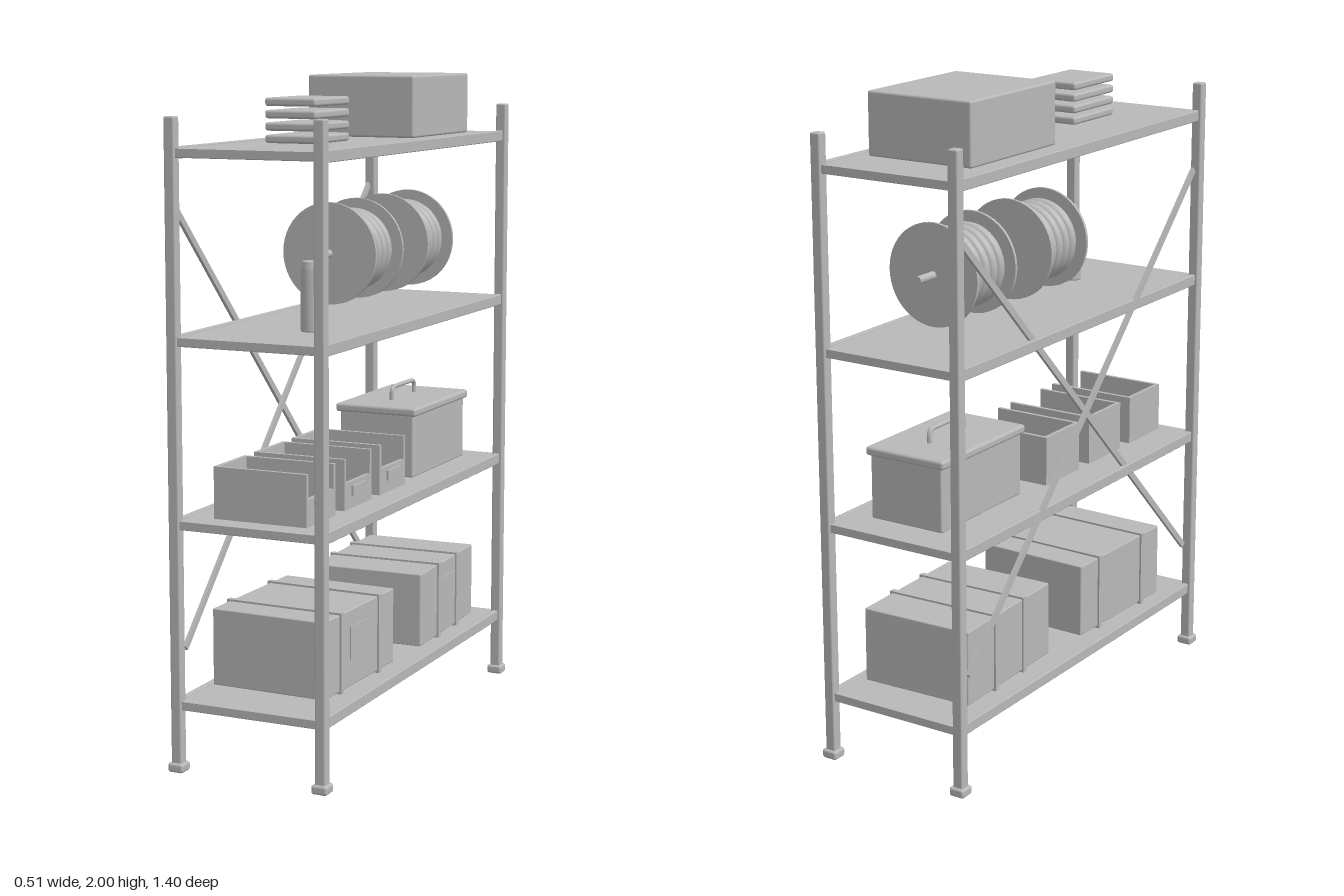
import * as THREE from 'three';
import { RoundedBoxGeometry } from 'three/addons/geometries/RoundedBoxGeometry.js';

const grey = new THREE.MeshStandardMaterial({ color: 0xb8b8b8 });
grey.name = 'plain grey';

function add(parent, name, geometry, x = 0, y = 0, z = 0) {
  const mesh = new THREE.Mesh(geometry, grey);
  mesh.name = name;
  mesh.position.set(x, y, z);
  parent.add(mesh);
  return mesh;
}

function group(parent, name, x = 0, y = 0, z = 0) {
  const g = new THREE.Group();
  g.name = name;
  g.position.set(x, y, z);
  parent.add(g);
  return g;
}

const box = (w, h, d) => new THREE.BoxGeometry(w, h, d);
const rounded = (w, h, d, r = 0.005) => new RoundedBoxGeometry(w, h, d, 2, r);

// cylinder lying along z
const rod = (r, length, sides = 40) => new THREE.CylinderGeometry(r, r, length, sides).rotateX(Math.PI / 2);

function addFrame(root) {
  const frame = group(root, 'frame');
  // four posts on wide feet
  for (const x of [-0.232, 0.232]) {
    for (const z of [-0.676, 0.676]) {
      add(frame, 'post', rounded(0.033, 1.885, 0.033), x, 0.957, z);
      add(frame, 'foot', rounded(0.05, 0.028, 0.05, 0.008), x, 0.014, z);
    }
  }
  // shelves: deck, long beams and end beams
  for (const y of [0.2, 0.735, 1.265, 1.797]) {
    const shelf = group(frame, 'shelf', 0, y, 0);
    add(shelf, 'deck', box(0.45, 0.014, 1.37), 0, 0.006, 0);
    for (const s of [-1, 1]) {
      add(shelf, 'longBeam', rounded(0.018, 0.034, 1.35, 0.003), s * 0.231, 0, 0);
      add(shelf, 'endBeam', rounded(0.45, 0.025, 0.018, 0.003), 0, 0, s * 0.676);
    }
  }
  // crossed braces on the right side
  for (const s of [-1, 1]) {
    const brace = add(frame, 'crossBrace', box(0.01, 0.02, 1.8), -0.232 + s * 0.005, 0.995, 0);
    brace.rotation.x = s * Math.atan2(1.27, 1.28);
  }
}

// strapped carton with a thin label on its left side
function addCarton(root, x, z, width, length, strapOffset, turn) {
  const carton = group(root, 'carton', x, 0.341, z);
  carton.rotation.y = turn;
  add(carton, 'cartonBody', rounded(width, 0.232, length, 0.004));
  for (const s of [-1, 1]) {
    add(carton, 'strap', box(width + 0.012, 0.244, 0.018), 0, 0, s * strapOffset);
  }
  add(carton, 'label', box(0.006, 0.1, 0.13), width / 2, 0.015, 0);
}

// open parts bin with a low front
function addBin(root, z) {
  const bin = group(root, 'bin', 0.015, 0.753, z);
  const t = 0.012;
  add(bin, 'binFloor', box(0.295, t, 0.19), 0, t / 2, 0);
  for (const s of [-1, 1]) add(bin, 'binSide', box(0.295, 0.153, t), 0, 0.0765, s * 0.089);
  add(bin, 'binBack', box(t, 0.153, 0.18), -0.1415, 0.0765, 0);
  add(bin, 'binFront', box(t, 0.08, 0.18), 0.1415, 0.04, 0);
  add(bin, 'binLabel', box(0.008, 0.03, 0.09), 0.15, 0.052, 0);
}

function addToolbox(root) {
  const toolbox = group(root, 'toolbox', 0.018, 0.75, -0.372);
  add(toolbox, 'toolboxBody', rounded(0.25, 0.197, 0.415), 0, 0.1, 0);
  add(toolbox, 'toolboxLid', rounded(0.275, 0.027, 0.435, 0.009), 0, 0.209, 0);
  const points = [[0.21, -0.088], [0.25, -0.088], [0.263, -0.072], [0.263, 0.072], [0.25, 0.088], [0.21, 0.088]];
  const path = new THREE.CatmullRomCurve3(points.map(([y, z]) => new THREE.Vector3(0, y, z)), false, 'catmullrom', 0.2);
  add(toolbox, 'toolboxHandle', new THREE.TubeGeometry(path, 40, 0.007, 10));
}

// cable reel with five wound turns
function addReel(root, z) {
  const reel = group(root, 'cableReel', 0, 1.477, z);
  for (const s of [-1, 1]) add(reel, 'flange', rod(0.153, 0.01, 48), 0, 0, s * 0.098);
  add(reel, 'reelCore', rod(0.105, 0.19));
  for (let i = -2; i <= 2; i++) {
    add(reel, 'cableTurn', new THREE.TorusGeometry(0.107, 0.0175, 12, 48), 0, 0, i * 0.037);
  }
}

export function createModel() {
  const root = new THREE.Group();
  root.name = 'storageRack';
  addFrame(root);

  // bottom shelf
  addCarton(root, -0.005, 0.302, 0.37, 0.46, 0.125, -0.03);
  addCarton(root, 0.005, -0.338, 0.365, 0.462, 0.08, 0.03);

  // second shelf
  for (const z of [0.535, 0.285, 0.035]) addBin(root, z);
  addToolbox(root);

  // third shelf: reels on a shared axle, and a spray can
  for (const z of [0.037, -0.355]) addReel(root, z);
  add(root, 'reelAxle', rod(0.012, 0.755, 20), 0, 1.477, -0.157);
  const profile = [[0, 0], [0.028, 0], [0.03, 0.004], [0.03, 0.18], [0.026, 0.186], [0.026, 0.2], [0.024, 0.203], [0, 0.203]];
  add(root, 'can', new THREE.LatheGeometry(profile.map(([r, y]) => new THREE.Vector2(r, y)), 28), 0.07, 1.28, 0.408);

  // top shelf
  add(root, 'crate', rounded(0.352, 0.187, 0.437, 0.007), -0.002, 1.9065, -0.304);
  for (let i = 0; i < 4; i++) {
    add(root, 'stackedPanel', rounded(0.162, 0.024, 0.23, 0.008), 0.016, 1.829 + i * 0.035, 0.316);
  }
  return root;
}
